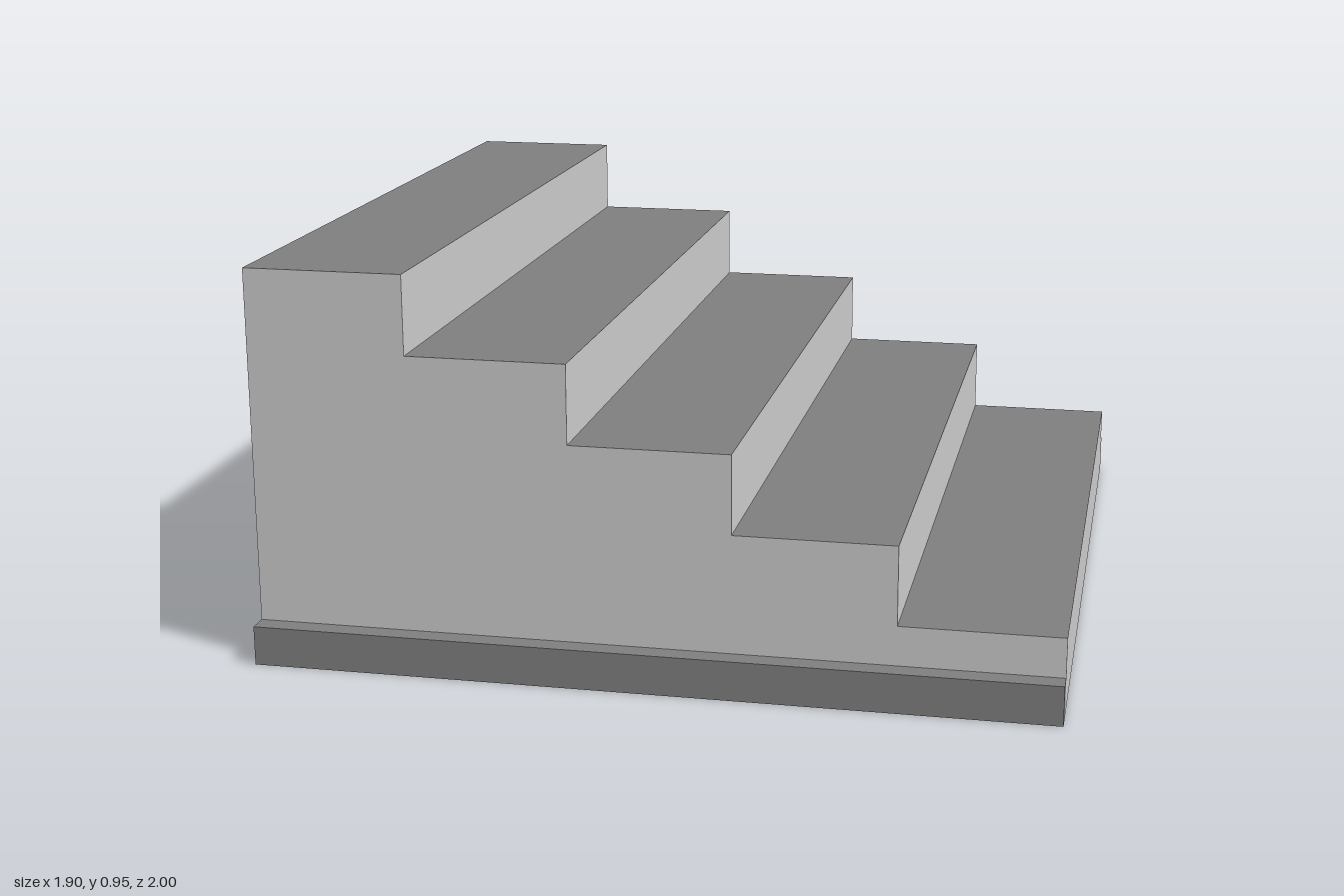
import * as THREE from 'three';

const STEPS = 5, RUN = 0.38, RISE = 0.19, HALF = 0.95;

const light = new THREE.MeshStandardMaterial({ color: 0xcccccc, flatShading: true });
const dark = new THREE.MeshStandardMaterial({ color: 0x7f7f7f, flatShading: true });

// Stepped profile, highest at -x, extruded along z
function stairGeometry() {
  const shape = new THREE.Shape();
  shape.moveTo(-HALF, 0);
  shape.lineTo(HALF, 0);
  for (let i = 0; i < STEPS; i++) {
    const x = HALF - i * RUN, y = (i + 1) * RISE;
    shape.lineTo(x, y);
    shape.lineTo(x - RUN, y);
  }
  shape.closePath();
  const geo = new THREE.ExtrudeGeometry(shape, { depth: 2 * HALF, bevelEnabled: false });
  geo.translate(0, 0, -HALF);

  // Horizontal faces (treads and underside) take the dark material
  geo.clearGroups();
  const normal = geo.attributes.normal;
  for (let i = 0; i < normal.count; i += 3) {
    geo.addGroup(i, 3, Math.abs(normal.getY(i)) > 0.5 ? 1 : 0);
  }
  return geo;
}

export function createModel() {
  const model = new THREE.Group();
  model.name = 'staircase';

  const stairs = new THREE.Mesh(stairGeometry(), [light, dark]);
  stairs.name = 'steps';
  model.add(stairs);

  // Skirting strip along the foot of each side
  for (const [name, side] of [['frontSkirting', 1], ['backSkirting', -1]]) {
    const strip = new THREE.Mesh(new THREE.BoxGeometry(2 * HALF, 0.095, 0.05), dark);
    strip.name = name;
    strip.position.set(0, 0.0475, side * 0.975);
    model.add(strip);
  }
  return model;
}
